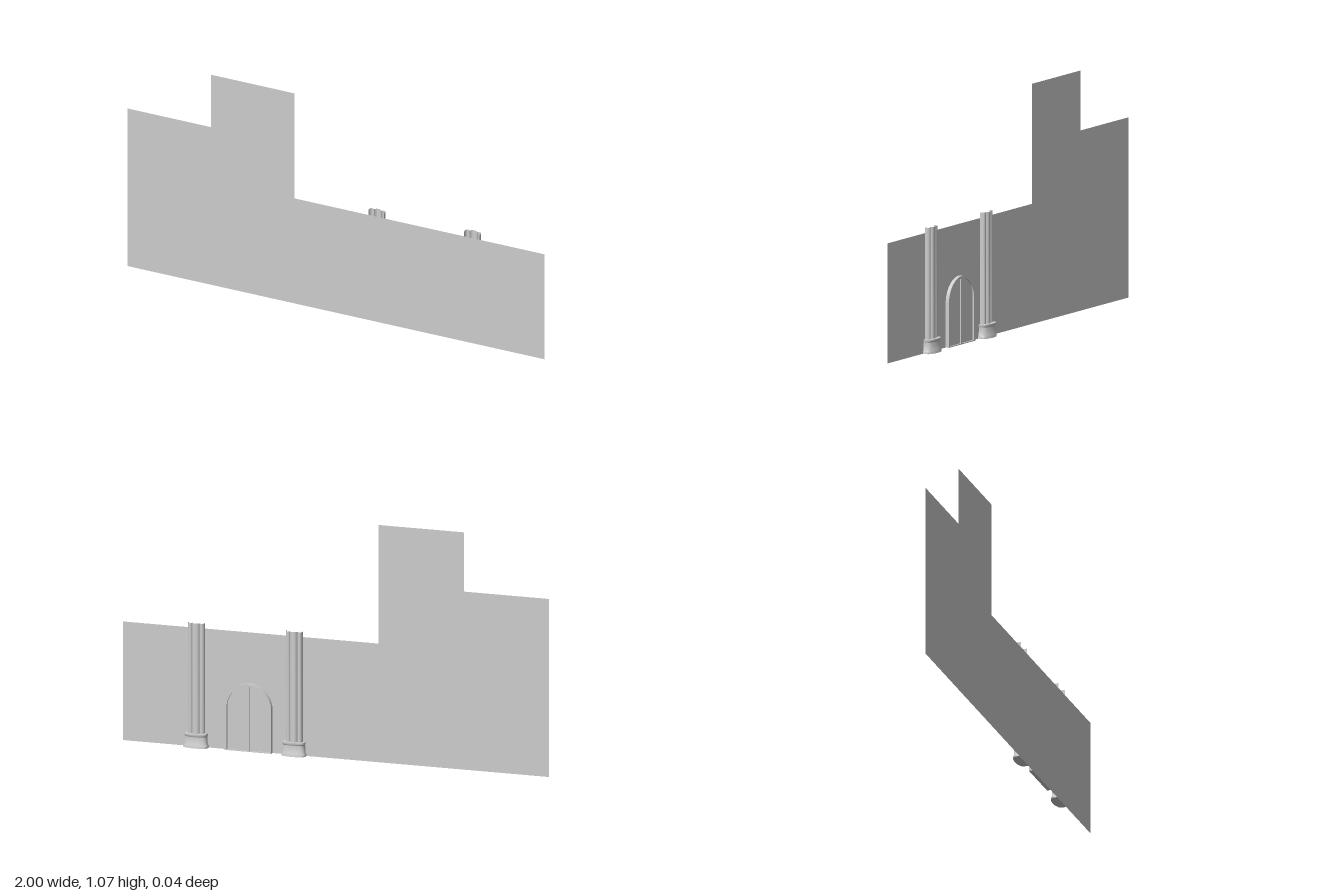
import * as THREE from 'three';
import { toCreasedNormals } from 'three/addons/utils/BufferGeometryUtils.js';

const WALL_Z = 0.021; // plane of the wall; all relief projects towards -z

// Lofts an open outline of [x, depth] points through levels of [y, widthScale, depthScale]
function loft(outline, levels) {
  const pos = [], index = [], n = outline.length;
  for (const [y, sx, sd] of levels)
    for (const [x, d] of outline) pos.push(x * sx, y, WALL_Z - d * sd);
  for (let i = 0; i < levels.length - 1; i++)
    for (let j = 0; j < n - 1; j++) {
      const a = i * n + j, b = a + 1, c = a + n, d = c + 1;
      index.push(a, b, c, b, d, c);
    }
  const g = new THREE.BufferGeometry();
  g.setAttribute('position', new THREE.Float32BufferAttribute(pos, 3));
  g.setIndex(index);
  return toCreasedNormals(g, 0.6);
}

// Points of an elliptical lobe bulging outwards, from +x to -x
function lobe(cx, rx, base, depth, steps) {
  return Array.from({ length: steps + 1 }, (_, i) => {
    const a = Math.PI * i / steps;
    return [cx + rx * Math.cos(a), base + depth * Math.sin(a)];
  });
}

// Round-headed doorway outline, inset by t on the sides and head
function archPath(Type, halfWidth, spring, bottom) {
  const p = new Type();
  p.moveTo(-halfWidth, bottom);
  p.lineTo(halfWidth, bottom);
  p.lineTo(halfWidth, spring);
  p.absarc(0, spring, halfWidth, 0, Math.PI, false);
  p.lineTo(-halfWidth, bottom);
  return p;
}

export function createModel() {
  const stone = new THREE.MeshStandardMaterial({ color: 0xcccccc, side: THREE.DoubleSide });
  stone.name = 'stone grey';
  const model = new THREE.Group();
  model.name = 'facadePanel';
  const add = (parent, name, geometry) => {
    const mesh = new THREE.Mesh(geometry, stone);
    mesh.name = name;
    parent.add(mesh);
    return mesh;
  };

  // Stepped flat wall
  const wall = new THREE.Shape([
    [-1, 0], [1, 0], [1, 0.535], [-0.2, 0.535], [-0.2, 1.07], [-0.6, 1.07], [-0.6, 0.803], [-1, 0.803],
  ].map(([x, y]) => new THREE.Vector2(x, y)));
  add(model, 'wall', new THREE.ShapeGeometry(wall)).position.z = WALL_Z;

  // Clustered columns on flared plinths
  const shaft = [
    [0.0375, 0], [0.0375, 0.014],
    ...lobe(0.0275, 0.01, 0.014, 0.007, 6),
    ...lobe(0, 0.0175, 0.014, 0.013, 10),
    ...lobe(-0.0275, 0.01, 0.014, 0.007, 6),
    [-0.0375, 0.014], [-0.0375, 0],
  ];
  const plinth = [[0.055, 0], ...lobe(0, 0.055, 0.021, 0.021, 14), [-0.055, 0]];
  const plinthLevels = [
    [0, 0, 0], [0, 1, 1], [0.008, 1, 1], [0.014, 0.93, 0.92],
    [0.05, 0.87, 0.9], [0.055, 0.92, 0.98], [0.063, 0.92, 0.98], [0.063, 0, 0],
  ];
  for (const [name, x] of [['innerColumn', 0.193], ['outerColumn', 0.652]]) {
    const column = new THREE.Group();
    column.name = name;
    column.position.x = x;
    add(column, 'columnShaft', loft(shaft, [[0.055, 1, 1], [0.56, 1, 1]]));
    add(column, 'columnPlinth', loft(plinth, plinthLevels));
    model.add(column);
  }

  // Arched double door between the columns
  const door = new THREE.Group();
  door.name = 'door';
  door.position.x = 0.408;
  model.add(door);
  const extrude = (shape, depth) => {
    const g = new THREE.ExtrudeGeometry(shape, { depth, bevelEnabled: false, curveSegments: 20 });
    return toCreasedNormals(g.translate(0, 0, WALL_Z - depth), 0.6);
  };
  const frame = archPath(THREE.Shape, 0.11, 0.195, 0);
  frame.holes.push(archPath(THREE.Path, 0.099, 0.195, 0.004));
  add(door, 'doorFrame', extrude(frame, 0.017));
  add(door, 'doorLeaves', extrude(archPath(THREE.Shape, 0.1, 0.195, 0.002), 0.009));
  add(door, 'doorCentreBar', new THREE.BoxGeometry(0.012, 0.296, 0.016))
    .position.set(0, 0.149, WALL_Z - 0.008);

  return model;
}
